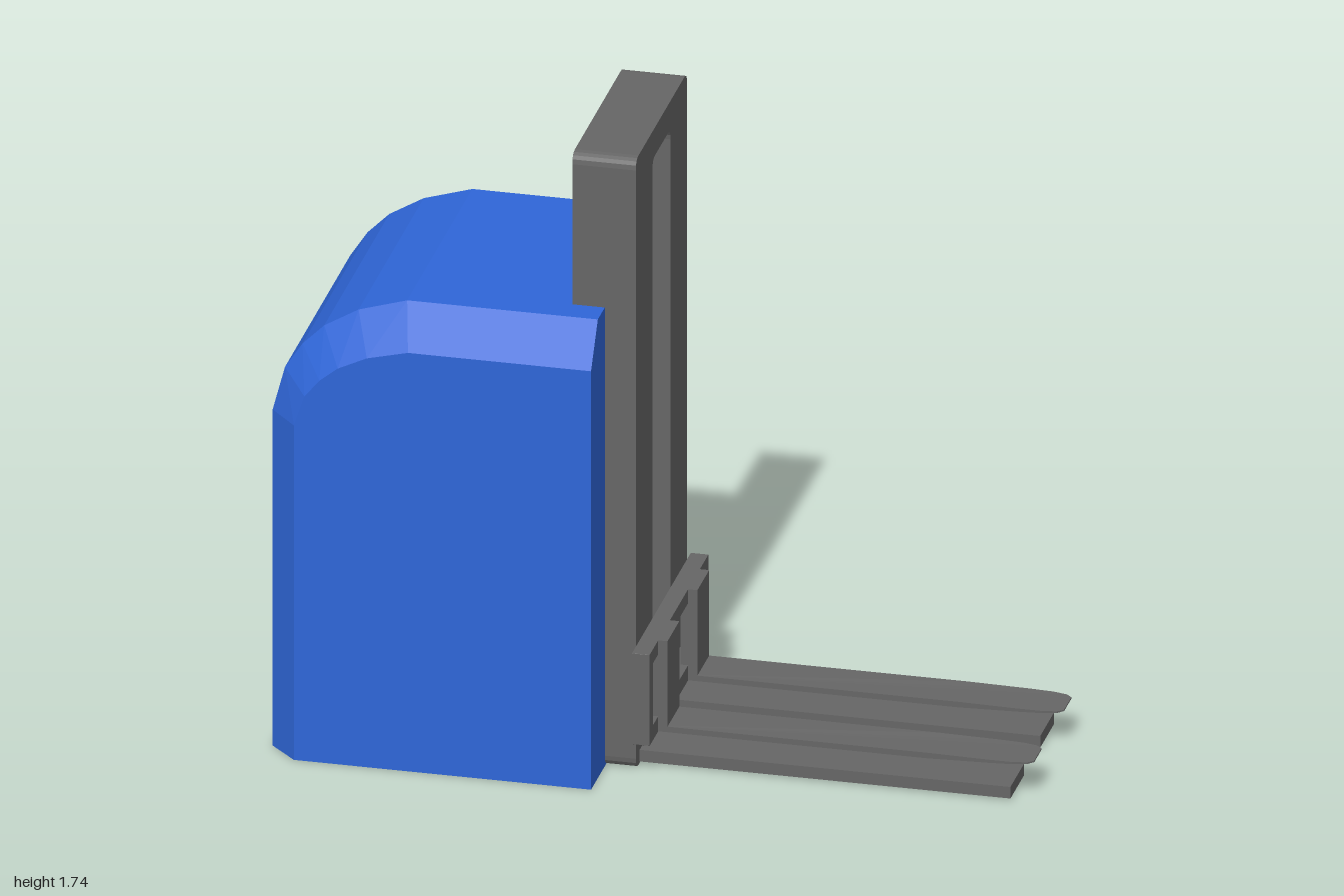
import * as THREE from 'three';
import { ConvexGeometry } from 'three/addons/geometries/ConvexGeometry.js';

const blue = new THREE.MeshStandardMaterial({ color: 0x2f66d8, flatShading: true });
const grey = new THREE.MeshStandardMaterial({ color: 0x666666, flatShading: true });

function add(parent, name, geometry, material = grey) {
  const mesh = new THREE.Mesh(geometry, material);
  mesh.name = name;
  parent.add(mesh);
  return mesh;
}

// Box given by its limits on each axis
function boxBetween(x0, x1, y0, y1, z0, z1) {
  return new THREE.BoxGeometry(x1 - x0, y1 - y0, z1 - z0)
    .translate((x0 + x1) / 2, (y0 + y1) / 2, (z0 + z1) / 2);
}

// Rectangle symmetric about the middle, with rounded corners of radius r
function roundedRect(path, half, y0, y1, r) {
  path.moveTo(-half + r, y0);
  path.lineTo(half - r, y0);
  path.quadraticCurveTo(half, y0, half, y0 + r);
  path.lineTo(half, y1 - r);
  path.quadraticCurveTo(half, y1, half - r, y1);
  path.lineTo(-half + r, y1);
  path.quadraticCurveTo(-half, y1, -half, y1 - r);
  path.lineTo(-half, y0 + r);
  path.quadraticCurveTo(-half, y0, -half + r, y0);
  return path;
}

// Upright frame with a window, running from x0 to x1
function windowFrame(outer, inner, x0, x1) {
  const shape = roundedRect(new THREE.Shape(), ...outer);
  shape.holes.push(roundedRect(new THREE.Path(), ...inner));
  return new THREE.ExtrudeGeometry(shape, { depth: x1 - x0, bevelEnabled: false, curveSegments: 4 })
    .rotateY(Math.PI / 2).translate(x0, 0, 0);
}

// Chassis: faceted round back, sides chamfered in to a smaller profile
function chassisGeometry() {
  const arc = [[-1, 0.96], [-0.967, 1.085], [-0.92, 1.157], [-0.862, 1.215], [-0.77, 1.27], [-0.64, 1.31]];
  const outer = [[-1, 0], ...arc, [-0.13, 1.31], [-0.13, 0]];
  const inner = [[-0.925, 0],
    ...arc.map(([x, y]) => [-0.62 + (x + 0.64) * 0.847, 0.955 + (y - 0.96) * 0.686]),
    [-0.13, 1.195], [-0.13, 0]];
  const points = [];
  for (const s of [-1, 1]) {
    outer.forEach(([x, y]) => points.push(new THREE.Vector3(x, y, s * 0.36)));
    inner.forEach(([x, y]) => points.push(new THREE.Vector3(x, y, s * 0.435)));
  }
  return new ConvexGeometry(points);
}

// Fork blade: plan outline with a rounded tip, thinning toward the tip
function bladeGeometry() {
  const side = [[-0.01, 0.065], [0.72, 0.065], [0.88, 0.065], [0.945, 0.063], [0.985, 0.055], [1, 0.04]];
  const outline = [...side, ...side.map(([x, z]) => [x, -z]).reverse()];
  const shape = new THREE.Shape(outline.map(([x, z]) => new THREE.Vector2(x, z)));
  const geometry = new THREE.ExtrudeGeometry(shape, { depth: 1, bevelEnabled: false }).rotateX(-Math.PI / 2);
  const p = geometry.attributes.position;
  for (let i = 0; i < p.count; i++) {
    const t = THREE.MathUtils.clamp((p.getX(i) - 0.72) / 0.28, 0, 1);
    p.setY(i, p.getY(i) > 0.5 ? 0.106 - 0.004 * t : 0.09 + 0.008 * t);
  }
  geometry.computeVertexNormals();
  return geometry;
}

export function createModel() {
  const model = new THREE.Group();
  model.name = 'palletStacker';

  add(model, 'chassis', chassisGeometry(), blue);
  add(model, 'mast', windowFrame([0.283, 0, 1.74, 0.03], [0.1, 0.1, 1.66, 0.03], -0.217, -0.047));
  add(model, 'carriage', windowFrame([0.325, 0.09, 0.35, 0.001], [0.285, 0.133, 0.31, 0.001], -0.047, 0));

  // One fork and one support leg on each side
  for (const s of [-1, 1]) {
    const fork = new THREE.Group();
    fork.name = s > 0 ? 'frontFork' : 'backFork';
    fork.position.z = s * 0.165;
    add(fork, 'shank', boxBetween(-0.02, 0.025, 0.09, 0.35, -0.065, 0.065));
    add(fork, 'blade', bladeGeometry());
    add(fork, 'supportLeg', boxBetween(-0.06, 0.945, 0.004, 0.037, -0.076, 0.076));
    model.add(fork);
  }
  return model;
}
